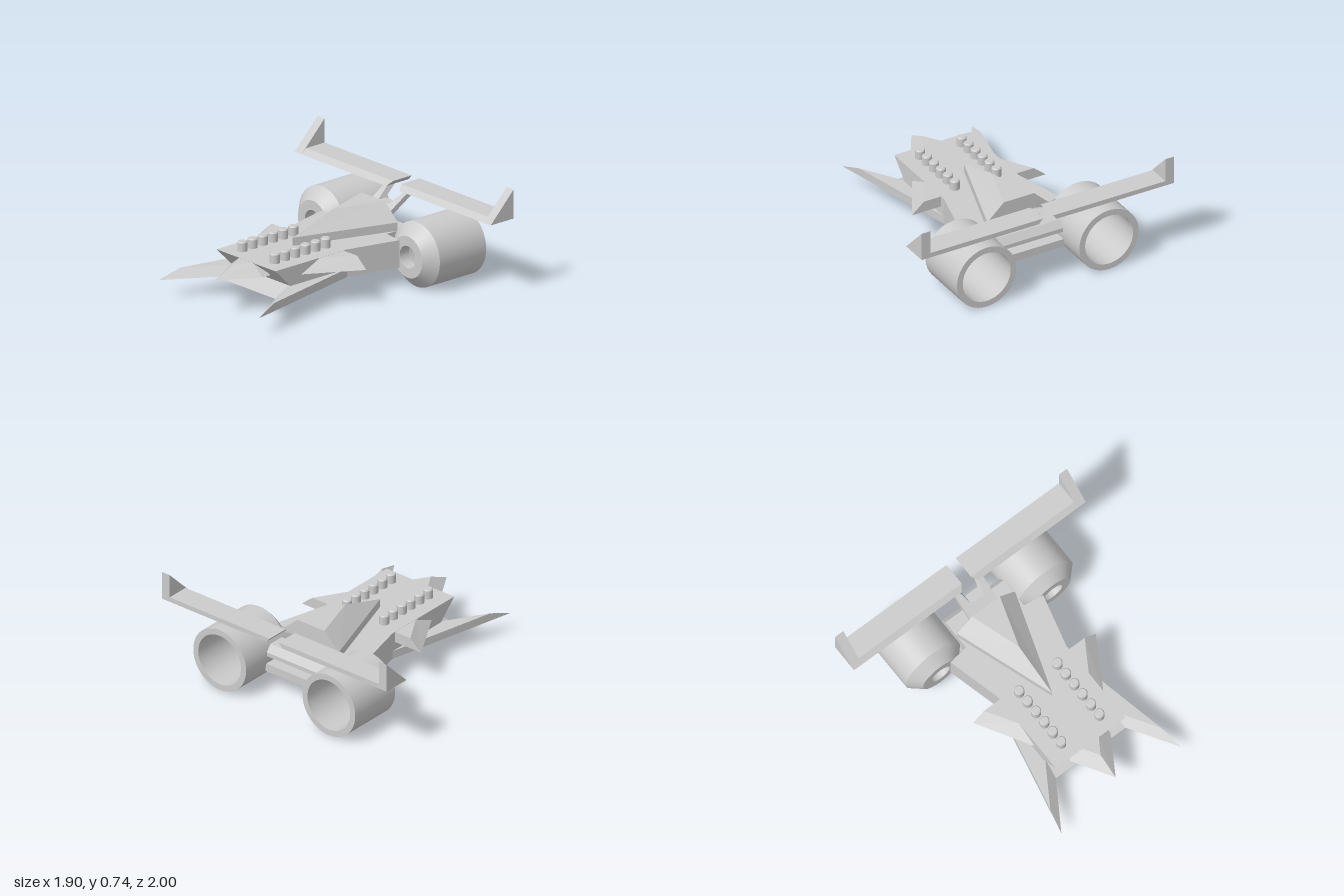
import * as THREE from 'three';

const material = new THREE.MeshStandardMaterial({ color: 0xcccccc, side: THREE.DoubleSide });
const flat = new THREE.MeshStandardMaterial({ color: 0xcccccc, flatShading: true });

// Solid between two outlines of [x, z] points at heights y0 and y1
function slab(low, y0, high, y1) {
  let a = low.map(([x, z]) => new THREE.Vector2(x, z));
  let b = high.map(([x, z]) => new THREE.Vector2(x, z));
  if (THREE.ShapeUtils.area(b) > 0) { a = a.reverse(); b = b.reverse(); }
  const pos = [];
  const put = (p, y) => pos.push(p.x, y, p.y);
  a.forEach((p, i) => {
    const j = (i + 1) % a.length;
    put(p, y0); put(a[j], y0); put(b[j], y1);
    put(p, y0); put(b[j], y1); put(b[i], y1);
  });
  const cap = (pts, y, up) => THREE.ShapeUtils.triangulateShape(pts, []).forEach((f) => {
    const t = f.map((i) => pts[i]);
    if ((THREE.ShapeUtils.area(t) < 0) !== up) t.reverse();
    t.forEach((p) => put(p, y));
  });
  cap(a, y0, false);
  cap(b, y1, true);
  const g = new THREE.BufferGeometry();
  g.setAttribute('position', new THREE.Float32BufferAttribute(pos, 3));
  g.computeVertexNormals();
  return g;
}

// Complete a half outline by mirroring it across z = 0
const both = (pts) => [...pts, ...pts.filter((p) => p[1] !== 0).reverse().map(([x, z]) => [x, -z])];
const rect = (x0, x1, z0, z1) => [[x0, z0], [x1, z0], [x1, z1], [x0, z1]];
const flip = (pts, s) => pts.map(([x, z]) => [x, z * s]);

export function createModel() {
  const model = new THREE.Group();
  const add = (name, geometry, mat = flat) => {
    const mesh = new THREE.Mesh(geometry, mat);
    mesh.name = name;
    model.add(mesh);
    return mesh;
  };

  // Bottom plate with two long forward prongs
  const plateRear = [[0.05, 0.3], [0.44, 0.4], [0.46, 0.26], [0.73, 0.26]];
  add('bottomPlate', slab(
    both([[-0.61, 0.3], [-0.95, 0.515], ...plateRear]), 0.14,
    both([[-0.47, 0.285], [-0.78, 0.48], ...plateRear]), 0.2));

  // Main hull with undercut front
  const hullRear = [[0.05, 0.3], [0.44, 0.4], [0.46, 0.25], [0.52, 0.25]];
  add('hull', slab(both([[-0.47, 0.3], ...hullRear]), 0.2, both([[-0.61, 0.3], ...hullRear]), 0.34));

  // Rear deck, overhanging a recess
  add('rearDeckEdge', slab(rect(0.5, 0.73, -0.25, 0.25), 0.26, rect(0.5, 0.73, -0.25, 0.25), 0.29));
  add('rearDeck', slab(rect(0.5, 0.73, -0.25, 0.25), 0.29, rect(0.5, 0.69, -0.25, 0.25), 0.34));

  // Nose spike
  add('noseSpike', slab(
    both([[-0.89, 0], [-0.61, 0.17], [-0.54, 0.17]]), 0.26,
    both([[-0.72, 0], [-0.61, 0.07], [-0.54, 0.07]]), 0.339));

  // Canopy: upright base and faceted roof
  const canopy = both([[-0.18, 0], [0.56, 0.25]]);
  add('canopyBase', slab(canopy, 0.34, canopy, 0.4));
  add('canopyRoof', slab(canopy, 0.4, both([[0.19, 0], [0.56, 0.12]]), 0.52));

  // Sloping wing pylon
  add('pylon', slab(rect(0.455, 0.525, -0.12, 0.12), 0.34, rect(0.655, 0.725, -0.12, 0.12), 0.46));

  // Engine: hollow nacelle with a small intake
  const engineProfile = [
    [0.08, 0.44], [0.15, 0.44], [0.235, 0.525], [0.235, 0.95],
    [0.19, 0.95], [0.19, 0.525], [0.08, 0.525], [0.08, 0.44],
  ];
  const stud = [[0, 0.34], [0.035, 0.34], [0.035, 0.402], [0.028, 0.41], [0, 0.41]];

  // Each profile segment gets its own lathe so the edges stay sharp
  const turned = (name, profile, segments) => {
    const group = new THREE.Group();
    group.name = name;
    for (let i = 0; i + 1 < profile.length; i++) {
      const pts = [profile[i], profile[i + 1]].map(([r, y]) => new THREE.Vector2(r, y));
      const mesh = new THREE.Mesh(new THREE.LatheGeometry(pts, segments), material);
      mesh.name = name + 'Surface';
      group.add(mesh);
    }
    model.add(group);
    return group;
  };

  for (const s of [1, -1]) {
    const side = s > 0 ? 'front' : 'back';

    const engine = turned(side + 'Engine', engineProfile, 48);
    engine.rotation.z = -Math.PI / 2;
    engine.position.set(0, 0.24, s * 0.485);

    // Swept side fin
    add(side + 'Fin', slab(
      flip([[-0.37, 0.3], [0.02, 0.53], [0.02, 0.3]], s), 0.26,
      flip([[-0.2, 0.3], [0.02, 0.435], [0.02, 0.3]], s), 0.339));

    // Pylon prong up to the wing
    add(side + 'PylonProng', slab(
      flip(rect(0.655, 0.725, 0.055, 0.12), s), 0.46,
      flip(rect(0.785, 0.855, 0.09, 0.12), s), 0.54));

    // Rear wing and its triangular end plate
    add(side + 'Wing', slab(
      flip(rect(0.74, 0.95, 0.07, 0.93), s), 0.535,
      flip(rect(0.78, 0.95, 0.04, 0.93), s), 0.57));
    const plate = new THREE.Shape([
      new THREE.Vector2(0.74, 0.535), new THREE.Vector2(0.95, 0.535), new THREE.Vector2(0.95, 0.745),
    ]);
    add(side + 'EndPlate', new THREE.ExtrudeGeometry(plate, { depth: 0.07, bevelEnabled: false }))
      .position.z = s > 0 ? 0.93 : -1;

    // Row of exhaust studs
    for (let i = 0; i < 6; i++) {
      turned(side + 'Stud', stud, 20).position.set(-0.493 + i * 0.0935, 0, s * 0.165);
    }
  }
  return model;
}
